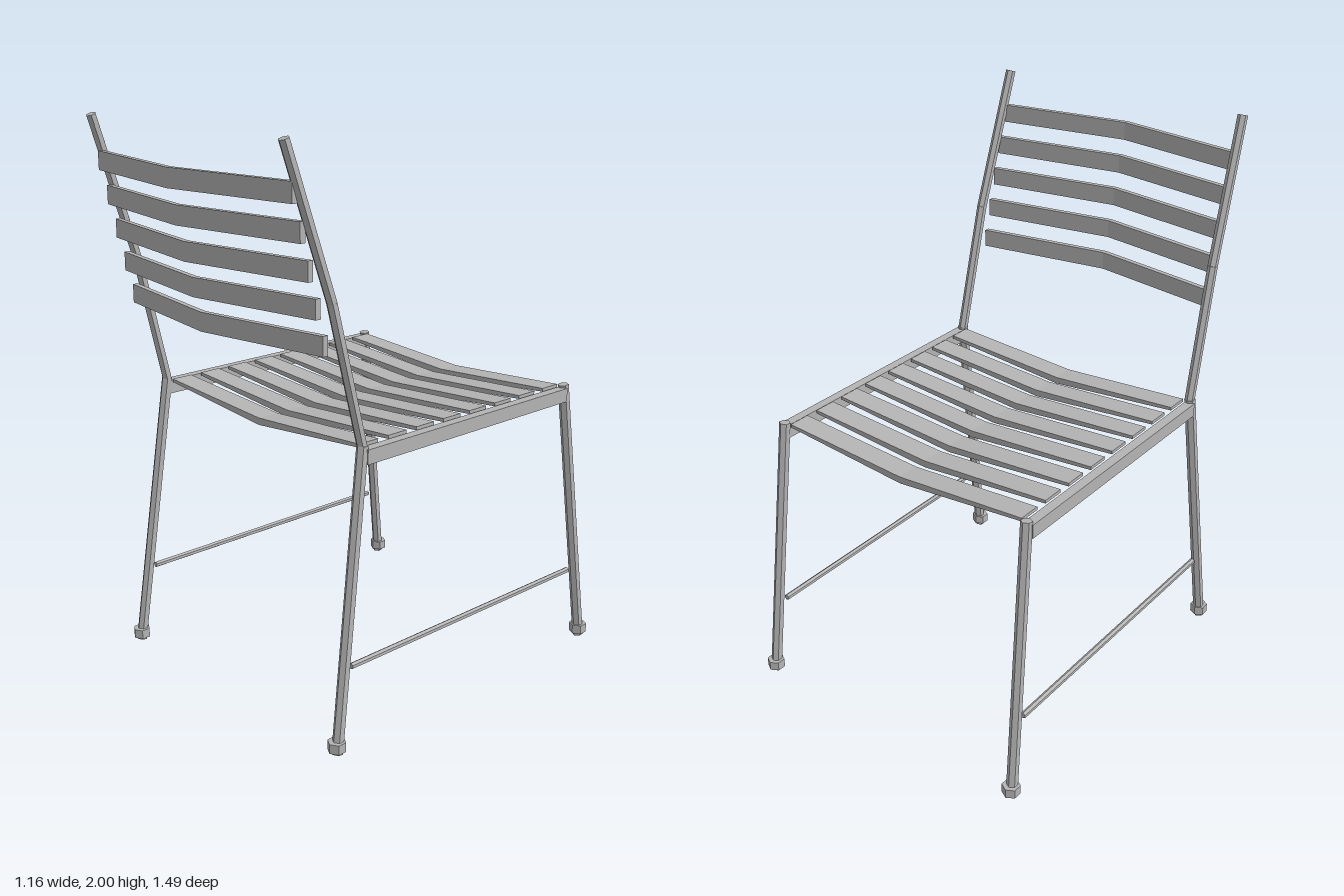
import * as THREE from 'three';

const steel = new THREE.MeshStandardMaterial({ color: 0xb4b4b4, flatShading: true });
steel.name = 'grey steel';

function add(group, geometry, name) {
  const mesh = new THREE.Mesh(geometry, steel);
  mesh.name = name;
  group.add(mesh);
  return mesh;
}

// Six-sided bar between two points
function bar(group, name, a, b, radius) {
  const from = new THREE.Vector3(...a);
  const to = new THREE.Vector3(...b);
  const dir = to.clone().sub(from);
  const mesh = add(group, new THREE.CylinderGeometry(radius, radius, dir.length(), 6), name);
  mesh.position.copy(from).add(to).multiplyScalar(0.5);
  mesh.quaternion.setFromUnitVectors(new THREE.Vector3(0, 1, 0), dir.normalize());
  return mesh;
}

// Slat bent at its middle, drawn as a closed outline and extruded
function bentSlat(half, endLow, endHigh, midLow, midHigh, depth) {
  const shape = new THREE.Shape([
    [-half, endLow], [0, midLow], [half, endLow],
    [half, endHigh], [0, midHigh], [-half, endHigh],
  ].map(([x, y]) => new THREE.Vector2(x, y)));
  return new THREE.ExtrudeGeometry(shape, { depth, bevelEnabled: false }).translate(0, 0, -depth / 2);
}

export function createModel() {
  const chair = new THREE.Group();
  chair.name = 'chair';

  for (const [side, s] of [['left', 1], ['right', -1]]) {
    const frame = new THREE.Group();
    frame.name = side + 'Frame';
    chair.add(frame);

    // Splayed legs with hexagonal feet
    for (const [end, zTop, zFoot] of [['low', -0.592, -0.712], ['rear', 0.405, 0.545]]) {
      bar(frame, end + 'Leg', [s * 0.555, 0.005, zFoot], [s * 0.521, 1.025, zTop], 0.02);
      const foot = add(frame, new THREE.CylinderGeometry(0.032, 0.032, 0.034, 6), end + 'Foot');
      foot.position.set(s * 0.553, 0.033, zFoot);
    }

    // Seat rail and lower stretcher
    const rail = add(frame, new THREE.BoxGeometry(0.035, 0.05, 0.99), 'seatRail');
    rail.position.set(s * 0.526, 0.99, -0.094);
    bar(frame, 'stretcher', [s * 0.545, 0.292, -0.637], [s * 0.545, 0.292, 0.475], 0.011);

    // Back post, kinked part way up
    const kink = [s * 0.51, 1.497, 0.522];
    bar(frame, 'lowerBackPost', [s * 0.52, 1.02, 0.405], kink, 0.018);
    bar(frame, 'upperBackPost', kink, [s * 0.494, 1.995, 0.688], 0.018);
  }

  // Seat slats, dipping at the centre
  const seat = new THREE.Group();
  seat.name = 'seat';
  chair.add(seat);
  const seatSlat = bentSlat(0.498, 1.01, 1.022, 0.965, 0.99, 0.083);
  for (let i = 0; i < 8; i++) {
    add(seat, seatSlat, 'seatSlat').position.z = -0.545 + i * 0.1286;
  }

  // Backrest slats, bowed rearward at the centre
  const backrest = new THREE.Group();
  backrest.name = 'backrest';
  chair.add(backrest);
  const backSlat = bentSlat(0.5, -0.02, 0, -0.1, -0.08, 0.065).rotateX(-Math.PI / 2);
  for (let i = 0; i < 5; i++) {
    add(backrest, backSlat, 'backSlat').position.set(0, 1.366 + i * 0.1185, 0.529 + i * 0.0288);
  }

  return chair;
}
